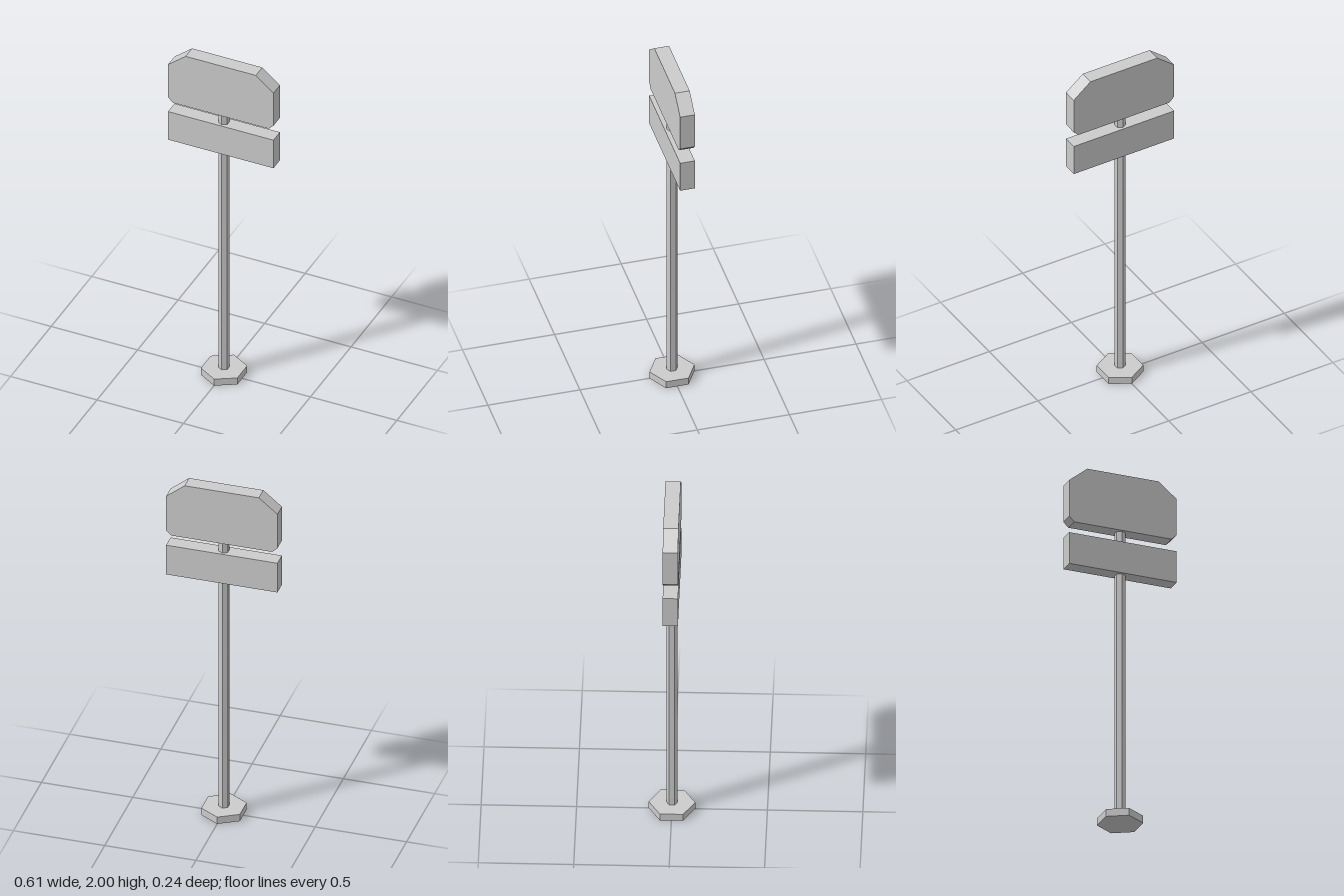
import * as THREE from 'three';

const material = new THREE.MeshStandardMaterial({ color: 0xcccccc, flatShading: true });

function addPart(group, name, geometry, y) {
  const mesh = new THREE.Mesh(geometry, material);
  mesh.name = name;
  mesh.position.y = y;
  group.add(mesh);
}

export function createModel() {
  const group = new THREE.Group();
  group.name = 'signpost';
  const width = 0.61, depth = 0.08, half = width / 2;

  // Hexagonal foot and pole, points facing front and back
  addPart(group, 'base', new THREE.CylinderGeometry(0.122, 0.122, 0.042, 6), 0.021);
  addPart(group, 'pole', new THREE.CylinderGeometry(0.029, 0.029, 1.68, 6), 0.86);

  // Lower rectangular sign
  addPart(group, 'lowerSign', new THREE.BoxGeometry(width, 0.18, depth), 1.525);

  // Upper sign with large top and small bottom chamfers
  const rightEdge = [[0.277, 1.68], [half, 1.708], [half, 1.917], [0.203, 2]];
  const leftEdge = rightEdge.map(([x, y]) => [-x, y]).reverse();
  const outline = new THREE.Shape([...rightEdge, ...leftEdge].map(([x, y]) => new THREE.Vector2(x, y)));
  const board = new THREE.ExtrudeGeometry(outline, { depth, bevelEnabled: false });
  board.translate(0, 0, -depth / 2);
  addPart(group, 'upperSign', board, 0);

  return group;
}
